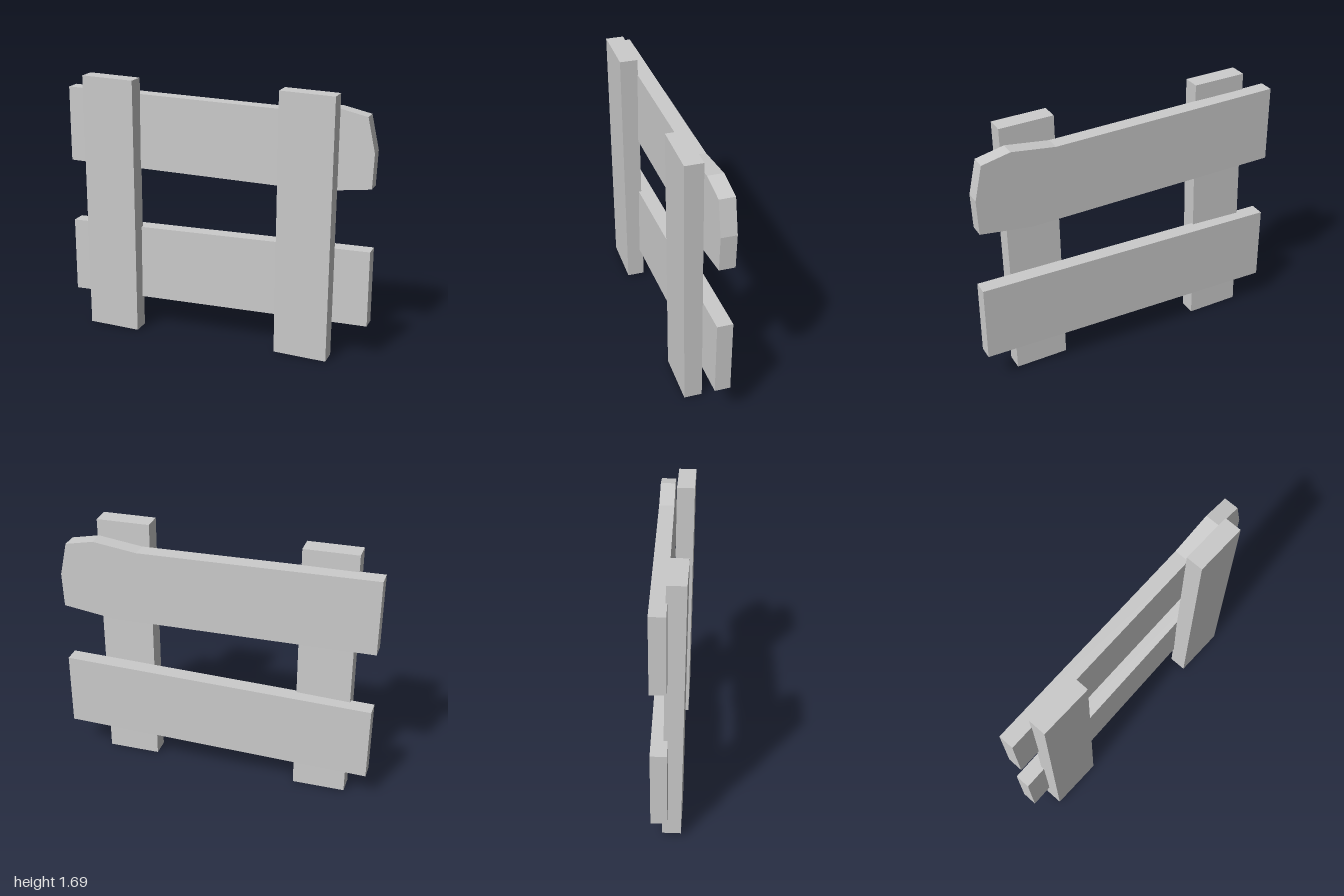
import * as THREE from 'three';

const material = new THREE.MeshStandardMaterial({ color: 0xcccccc, flatShading: true });

// Flat board cut from an outline in x/y; zBack(x, y) makes it lean or turn slightly
function board(name, outline, thickness, zBack) {
  const shape = new THREE.Shape(outline.map(([x, y]) => new THREE.Vector2(x, y)));
  const geometry = new THREE.ExtrudeGeometry(shape, { depth: thickness, bevelEnabled: false });
  const p = geometry.attributes.position;
  for (let i = 0; i < p.count; i++) p.setZ(i, p.getZ(i) + zBack(p.getX(i), p.getY(i)));
  geometry.computeVertexNormals();
  const mesh = new THREE.Mesh(geometry, material);
  mesh.name = name;
  return mesh;
}

export function createModel() {
  const fence = new THREE.Group();
  fence.name = 'fence';

  // Upright posts, leaning slightly forward and sideways
  const postLean = (x, y) => -0.022 + 0.0165 * y;
  for (const [name, x] of [['rightPost', -0.858], ['leftPost', 0.434]]) {
    fence.add(board(name, [
      [x, 0.01], [x + 0.34, 0], [x + 0.355, 1.68], [x + 0.013, 1.69],
    ], 0.113, postLean));
  }

  // Rails behind the posts, turned slightly about the vertical
  const railTurn = (x) => -0.1 - 0.019 * x;
  fence.add(board('lowerRail', [
    [-1, 0.205], [0.998, 0.228], [0.998, 0.715], [-1, 0.692],
  ], 0.097, railTurn));

  // Upper rail with a worn, chipped end
  fence.add(board('upperRail', [
    [-1, 1.105], [0.66, 1.068], [0.99, 1.11], [0.998, 1.33],
    [0.95, 1.545], [0.77, 1.585], [0.49, 1.55], [-1, 1.59],
  ], 0.097, railTurn));

  return fence;
}
